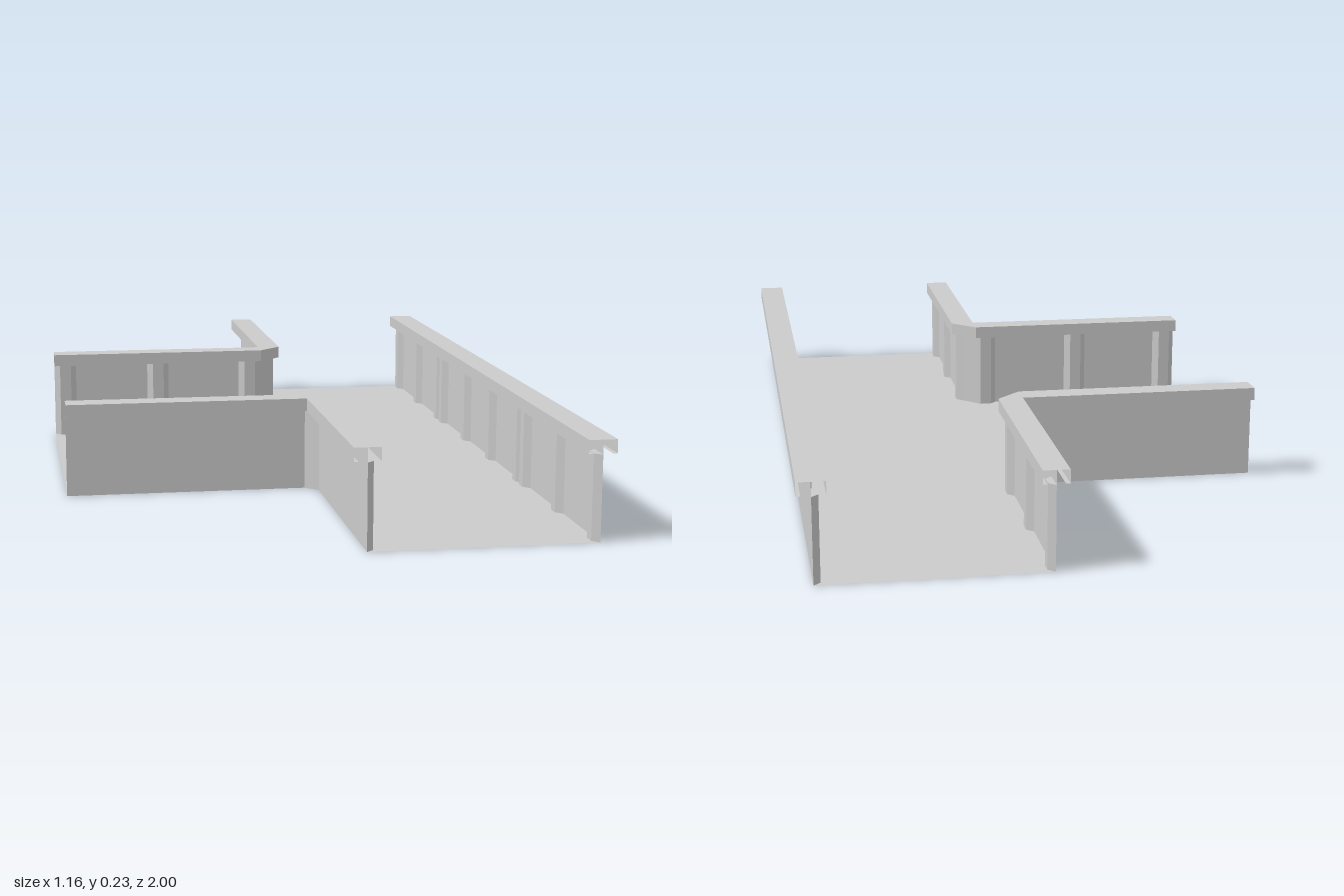
import * as THREE from 'three';

const WALL_TOP = 0.226, RIB_TOP = 0.195, CAP_LOW = 0.197, CAP_TOP = 0.228;
const RAIL_X = 0.547, RUN_X = 0.03, BRANCH_Z = 0.385, CORNER_Z = 0.415, END_X = -0.58;

const material = new THREE.MeshStandardMaterial({ color: 0xcccccc, side: THREE.DoubleSide });

function addMesh(parent, name, geometry) {
  const mesh = new THREE.Mesh(geometry, material);
  mesh.name = name;
  parent.add(mesh);
  return mesh;
}

// Sheet metal swept along a path; section = [[offset, y], ...], path(offset) = [[x, z], ...]
function sweep(section, path) {
  const rows = section.map(([d, y]) => path(d).map(([x, z]) => [x, y, z]));
  const pos = [];
  for (let i = 0; i < rows.length - 1; i++) {
    for (let j = 0; j < rows[i].length - 1; j++) {
      const a = rows[i][j], b = rows[i][j + 1], c = rows[i + 1][j + 1], d = rows[i + 1][j];
      pos.push(...a, ...b, ...c, ...a, ...c, ...d);
    }
  }
  const geometry = new THREE.BufferGeometry();
  geometry.setAttribute('position', new THREE.Float32BufferAttribute(pos, 3));
  geometry.computeVertexNormals();
  return geometry;
}

// Folded cover channel: lip, flange, top, flange, lip
function capSection(half, lip = 0.01) {
  return [[lip - half, CAP_LOW], [-half, CAP_LOW], [-half, CAP_TOP],
    [half, CAP_TOP], [half, CAP_LOW], [half - lip, CAP_LOW]];
}

// Upright stiffening rib with 45 degree flanks, standing out towards -z
function ribGeometry() {
  const shape = new THREE.Shape([[-0.03, 0], [0.03, 0], [0.015, 0.016], [-0.015, 0.016]]
    .map(([x, y]) => new THREE.Vector2(x, y)));
  return new THREE.ExtrudeGeometry(shape, { depth: RIB_TOP, bevelEnabled: false }).rotateX(-Math.PI / 2);
}

export function createModel() {
  const model = new THREE.Group();
  model.name = 'teeTray';
  const ribGeo = ribGeometry();
  const addRib = (parent, x, z, angle) => {
    const rib = addMesh(parent, 'rib', ribGeo);
    rib.position.set(x, 0, z);
    rib.rotation.y = angle;
  };

  // Floor: straight run with a side branch and small chamfered corners
  const half = [[END_X, BRANCH_Z], [0, BRANCH_Z], [RUN_X, CORNER_Z], [RUN_X, 1], [RAIL_X, 1]];
  const outline = [...half, ...half.map(([x, z]) => [x, -z]).reverse()];
  const floor = new THREE.Shape(outline.map(([x, z]) => new THREE.Vector2(x, -z)));
  addMesh(model, 'floor', new THREE.ShapeGeometry(floor).rotateX(-Math.PI / 2));

  // Straight side: wall, cap and ribs
  const straight = new THREE.Group();
  straight.name = 'straightSide';
  model.add(straight);
  const railPath = d => [[RAIL_X + d, -1], [RAIL_X + d, 1]];
  addMesh(straight, 'wall', sweep([[0, 0], [0, WALL_TOP]], railPath));
  addMesh(straight, 'cap', sweep(capSection(0.032), railPath));

  // Two mirrored corner sides between the branch and the run
  for (const s of [1, -1]) {
    const side = new THREE.Group();
    side.name = s > 0 ? 'frontCornerSide' : 'backCornerSide';
    model.add(side);
    const path = d => [[END_X, s * (BRANCH_Z - d)], [0, s * (BRANCH_Z - d)],
      [RUN_X + d, s * CORNER_Z], [RUN_X + d, s]];
    addMesh(side, 'wall', sweep([[0, 0], [0, WALL_TOP]], path));
    addMesh(side, 'cap', sweep(capSection(0.03), path));

    for (const x of [-0.55, -0.29, -0.03]) addRib(side, x, s * BRANCH_Z, s > 0 ? 0 : Math.PI);
    for (const z of [0.445, 0.7075, 0.97]) addRib(side, RUN_X, s * z, -Math.PI / 2);
    for (const z of [0.128, 0.385, 0.445, 0.7075, 0.97]) addRib(straight, RAIL_X, s * z, Math.PI / 2);
  }
  return model;
}
